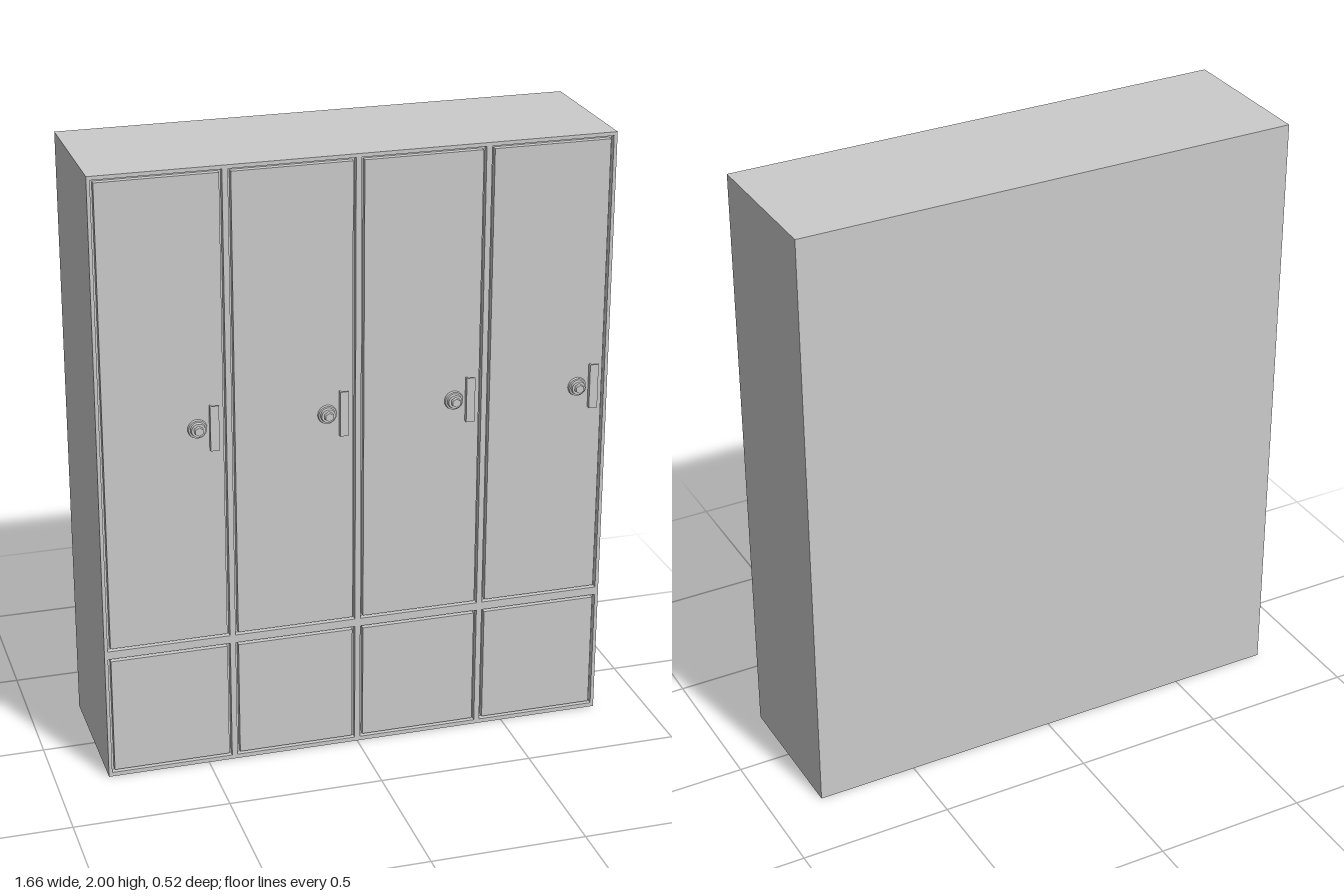
import * as THREE from 'three';

const mat = new THREE.MeshStandardMaterial({ color: 0xcccccc });
const FRONT = 0.23, BACK = -0.26, RECESS = 0.02, GAP = 0.009;
const PITCH = 0.414, OPEN_W = 0.396;
const ROWS = [
  { name: 'lowerDoor', y0: 0.014, y1: 0.42 },
  { name: 'tallDoor', y0: 0.447, y1: 1.988 },
];

function add(parent, name, geometry, x = 0, y = 0, z = 0) {
  const mesh = new THREE.Mesh(geometry, mat);
  mesh.name = name;
  mesh.position.set(x, y, z);
  parent.add(mesh);
  return mesh;
}

function box(parent, name, x0, x1, y0, y1, z0, z1) {
  return add(parent, name, new THREE.BoxGeometry(x1 - x0, y1 - y0, z1 - z0),
    (x0 + x1) / 2, (y0 + y1) / 2, (z0 + z1) / 2);
}

function rect(path, x0, x1, y0, y1) {
  path.moveTo(x0, y0);
  path.lineTo(x1, y0);
  path.lineTo(x1, y1);
  path.lineTo(x0, y1);
  path.closePath();
  return path;
}

// Round stepped lock with a six-sided centre, facing forward
function makeLock() {
  const lock = new THREE.Group();
  lock.name = 'lock';
  const step = (name, r0, r1, z0, z1, sides) => {
    const g = new THREE.CylinderGeometry(r1, r0, z1 - z0, sides);
    g.rotateX(Math.PI / 2);
    add(lock, name, g, 0, 0, (z0 + z1) / 2);
  };
  step('lockFlange', 0.031, 0.029, 0, 0.008, 24);
  step('lockCollar', 0.024, 0.022, 0.008, 0.018, 24);
  step('lockKnob', 0.016, 0.014, 0.018, 0.029, 6);
  return lock;
}

// Thin angled pull: a web standing off the door with a flange to the side
function makeHandle() {
  const handle = new THREE.Group();
  handle.name = 'handle';
  box(handle, 'handleWeb', -0.014, -0.009, -0.074, 0.074, 0, 0.015);
  box(handle, 'handleFlange', -0.009, 0.014, -0.074, 0.074, 0.011, 0.015);
  return handle;
}

export function createModel() {
  const model = new THREE.Group();
  model.name = 'lockerCabinet';
  const columns = [-1.5, -0.5, 0.5, 1.5].map((i) => i * PITCH);

  // Solid carcass behind the door openings
  box(model, 'carcass', -0.83, 0.83, 0, 2, BACK, FRONT - RECESS);

  // Front frame with one opening per door
  const frame = rect(new THREE.Shape(), -0.83, 0.83, 0, 2);
  for (const x of columns) {
    for (const { y0, y1 } of ROWS) {
      frame.holes.push(rect(new THREE.Path(), x - OPEN_W / 2, x + OPEN_W / 2, y0, y1));
    }
  }
  add(model, 'frontFrame',
    new THREE.ExtrudeGeometry(frame, { depth: RECESS, bevelEnabled: false }), 0, 0, FRONT - RECESS);

  // Flush doors, each with a narrow gap all round
  for (const x of columns) {
    const half = OPEN_W / 2 - GAP;
    for (const { name, y0, y1 } of ROWS) {
      box(model, name, x - half, x + half, y0 + GAP, y1 - GAP, FRONT - RECESS, FRONT);
    }
    const lock = makeLock();
    lock.position.set(x + 0.106, 1.17, FRONT);
    const handle = makeHandle();
    handle.position.set(x + 0.158, 1.17, FRONT);
    model.add(lock, handle);
  }
  return model;
}
